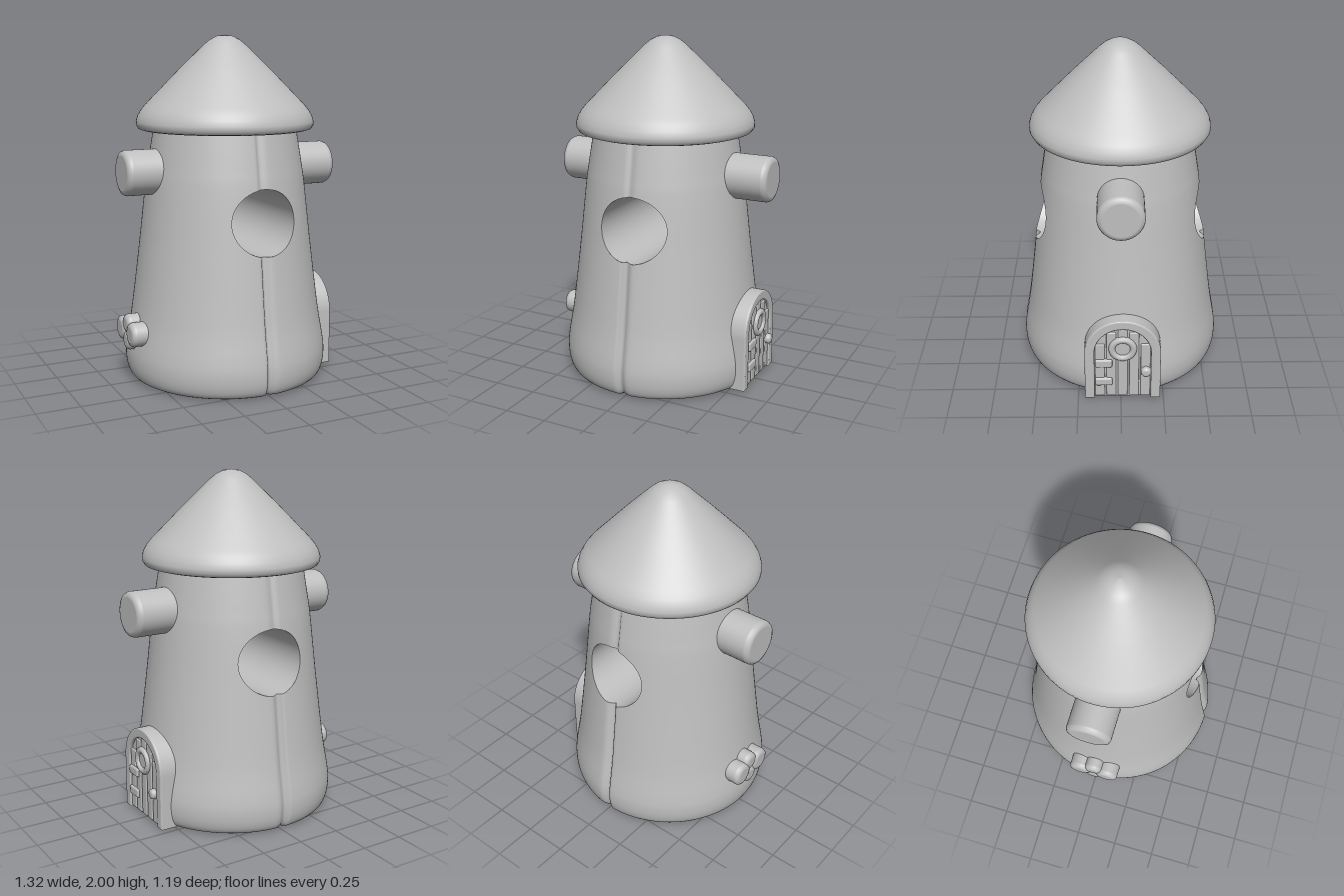
import * as THREE from 'three';
import { RoundedBoxGeometry } from 'three/addons/geometries/RoundedBoxGeometry.js';

const V = (x, y) => new THREE.Vector2(x, y);

// Tower profile (radius, height), sampled in rows
const ROWS = new THREE.SplineCurve([
  V(0.535, 0), V(0.572, 0.02), V(0.592, 0.07), V(0.598, 0.14), V(0.59, 0.22), V(0.556, 0.42),
  V(0.508, 0.8), V(0.468, 1.15), V(0.45, 1.27), V(0.417, 1.47),
]).getSpacedPoints(88);

const HOLE = { x: 0.03, y: 0.972, rx: 0.2, ry: 0.186 };

function radiusAt(y) {
  let i = 1;
  while (i < ROWS.length - 1 && ROWS[i].y < y) i++;
  const a = ROWS[i - 1], b = ROWS[i];
  return THREE.MathUtils.mapLinear(y, a.y, b.y, a.x, b.x);
}

// Vertical seam: steep on one side, soft on the other, fainter near the top
function seamDepth(x, y) {
  const d = x - 0.004;
  const width = d < 0 ? 0.012 : 0.03;
  return (y > HOLE.y ? 0.014 : 0.028) * Math.exp(-((d / width) ** 2));
}

function surfaceZ(x, y, side) {
  const r = radiusAt(y);
  return side * (Math.sqrt(Math.max(0, r * r - x * x)) - seamDepth(x, y));
}

// Tower wall: a turned grid whose points inside the opening slide out to its rim
function wallGeometry() {
  const N = 336, pos = [], inside = [], index = [];
  for (const row of ROWS) {
    for (let j = 0; j < N; j++) {
      const t = (j / N) * Math.PI * 2;
      let x = row.x * Math.cos(t), y = row.y;
      const dx = x - HOLE.x, dy = y - HOLE.y;
      const e = Math.hypot(dx / HOLE.rx, dy / HOLE.ry);
      const cut = e < 1;
      if (cut) {
        x = HOLE.x + dx / Math.max(e, 1e-4);
        y = HOLE.y + dy / Math.max(e, 1e-4);
      }
      pos.push(x, y, surfaceZ(x, y, Math.sin(t) >= 0 ? 1 : -1));
      inside.push(cut);
    }
  }
  const tri = (a, b, c) => {
    if (!(inside[a] && inside[b] && inside[c])) index.push(a, b, c);
  };
  for (let i = 0; i < ROWS.length - 1; i++) {
    for (let j = 0; j < N; j++) {
      const a = i * N + j, b = i * N + ((j + 1) % N), c = a + N, d = b + N;
      tri(a, c, b);
      tri(b, c, d);
    }
  }
  const g = new THREE.BufferGeometry();
  g.setAttribute('position', new THREE.Float32BufferAttribute(pos, 3));
  g.setIndex(index);
  g.computeVertexNormals();
  return g;
}

// Inward-facing tube whose ends follow the tower wall
function tunnelGeometry() {
  const g = new THREE.CylinderGeometry(1, 1, 2, 96, 1, true).rotateX(Math.PI / 2);
  const p = g.attributes.position;
  for (let i = 0; i < p.count; i++) {
    const x = HOLE.x + p.getX(i) * HOLE.rx, y = HOLE.y + p.getY(i) * HOLE.ry;
    p.setXYZ(i, x, y, surfaceZ(x, y, Math.sign(p.getZ(i))));
  }
  g.index.array.reverse();
  g.computeVertexNormals();
  return g;
}

// Round bar along +y with softened end
function barGeometry(r, from, to, soft) {
  return new THREE.LatheGeometry([
    V(r, from), V(r, to - soft * 1.3), V(r, to - soft), V(r - soft * 0.3, to - soft * 0.3),
    V(r - soft, to), V(r - soft * 1.3, to), V(0, to),
  ], 48);
}

function archShape(r, spring, base) {
  const s = new THREE.Shape();
  s.moveTo(-r, base);
  s.lineTo(r, base);
  s.lineTo(r, spring);
  s.absarc(0, spring, r, 0, Math.PI, false);
  s.closePath();
  return s;
}

export function createModel() {
  const stone = new THREE.MeshStandardMaterial({ color: 0xbfbfbf });
  stone.name = 'light grey';

  const model = new THREE.Group();
  model.name = 'tower';
  const add = (parent, name, geometry, x = 0, y = 0, z = 0) => {
    const m = new THREE.Mesh(geometry, stone);
    m.name = name;
    m.position.set(x, y, z);
    parent.add(m);
    return m;
  };

  // Tower body and roof
  const body = new THREE.Group();
  body.name = 'body';
  body.position.x = -0.02;
  model.add(body);
  add(body, 'wall', wallGeometry());
  add(body, 'tunnel', tunnelGeometry());
  add(body, 'base', new THREE.CircleGeometry(0.535, 96).rotateX(Math.PI / 2));
  add(body, 'roof', new THREE.LatheGeometry([
    V(0, 1.468), V(0.4, 1.466), V(0.485, 1.46), V(0.505, 1.466), V(0.517, 1.485), V(0.518, 1.508),
    V(0.508, 1.54), V(0.49, 1.57), V(0.463, 1.603), V(0.27, 1.8), V(0.12, 1.946),
    V(0.085, 1.974), V(0.045, 1.994), V(0, 2),
  ], 96));

  // Side pegs
  add(model, 'leftPeg', barGeometry(0.13, 0.34, 0.655, 0.025).rotateZ(-Math.PI / 2), 0, 1.23, 0);
  add(model, 'rightPeg', barGeometry(0.13, 0.34, 0.66, 0.025).rotateZ(Math.PI / 2), 0, 1.23, 0);

  // Four-lobed flower on the right side: [y, z, radius, reach]
  const flower = new THREE.Group();
  flower.name = 'flower';
  model.add(flower);
  for (const [y, z, r, reach] of [
    [0.31, 0.088, 0.07, 0.66], [0.31, -0.083, 0.07, 0.66],
    [0.355, 0, 0.055, 0.655], [0.255, 0, 0.055, 0.655],
  ]) {
    add(flower, 'petal', barGeometry(r, 0.5, reach, 0.022).rotateZ(Math.PI / 2), 0, y, z);
  }

  // Door on the left side, drawn facing +z then turned to +x
  const door = new THREE.Group();
  door.name = 'door';
  door.rotation.y = Math.PI / 2;
  door.position.z = -0.01;
  model.add(door);

  const frame = archShape(0.212, 0.33, 0.018);
  frame.curves.length = 0;
  frame.moveTo(-0.212, 0.018);
  frame.lineTo(-0.172, 0.018);
  frame.lineTo(-0.172, 0.33);
  frame.absarc(0, 0.33, 0.172, Math.PI, 0, true);
  frame.lineTo(0.172, 0.018);
  frame.lineTo(0.212, 0.018);
  frame.lineTo(0.212, 0.33);
  frame.absarc(0, 0.33, 0.212, 0, Math.PI, false);
  frame.closePath();
  add(door, 'doorFrame', new THREE.ExtrudeGeometry(frame, {
    depth: 0.13, bevelThickness: 0.01, bevelSize: 0.008, bevelSegments: 3, curveSegments: 32,
  }), 0, 0, 0.457);
  add(door, 'doorPanel', new THREE.ExtrudeGeometry(archShape(0.175, 0.33, 0.015), {
    depth: 0.11, bevelEnabled: false, curveSegments: 32,
  }), 0, 0, 0.47);

  // Upright planks that follow the arch
  for (let i = 0; i < 5; i++) {
    const u = (i - 2) * 0.066;
    const top = 0.33 + Math.sqrt(0.165 ** 2 - (Math.abs(u) + 0.022) ** 2);
    const h = top - 0.02;
    add(door, 'plank', new RoundedBoxGeometry(0.056, h, 0.03, 2, 0.007), u, 0.02 + h / 2, 0.574);
  }
  // Hinges, porthole and knob
  for (const y of [0.13, 0.26]) {
    add(door, 'hinge', new RoundedBoxGeometry(0.1, 0.052, 0.03, 2, 0.01), -0.11, y, 0.588);
  }
  add(door, 'portholeRim', new THREE.TorusGeometry(0.062, 0.02, 12, 40), 0, 0.36, 0.588);
  add(door, 'porthole', new THREE.CircleGeometry(0.06, 40), 0, 0.36, 0.592);
  add(door, 'knob', barGeometry(0.03, 0.56, 0.62, 0.014).rotateX(Math.PI / 2), 0.135, 0.205, 0);

  return model;
}
